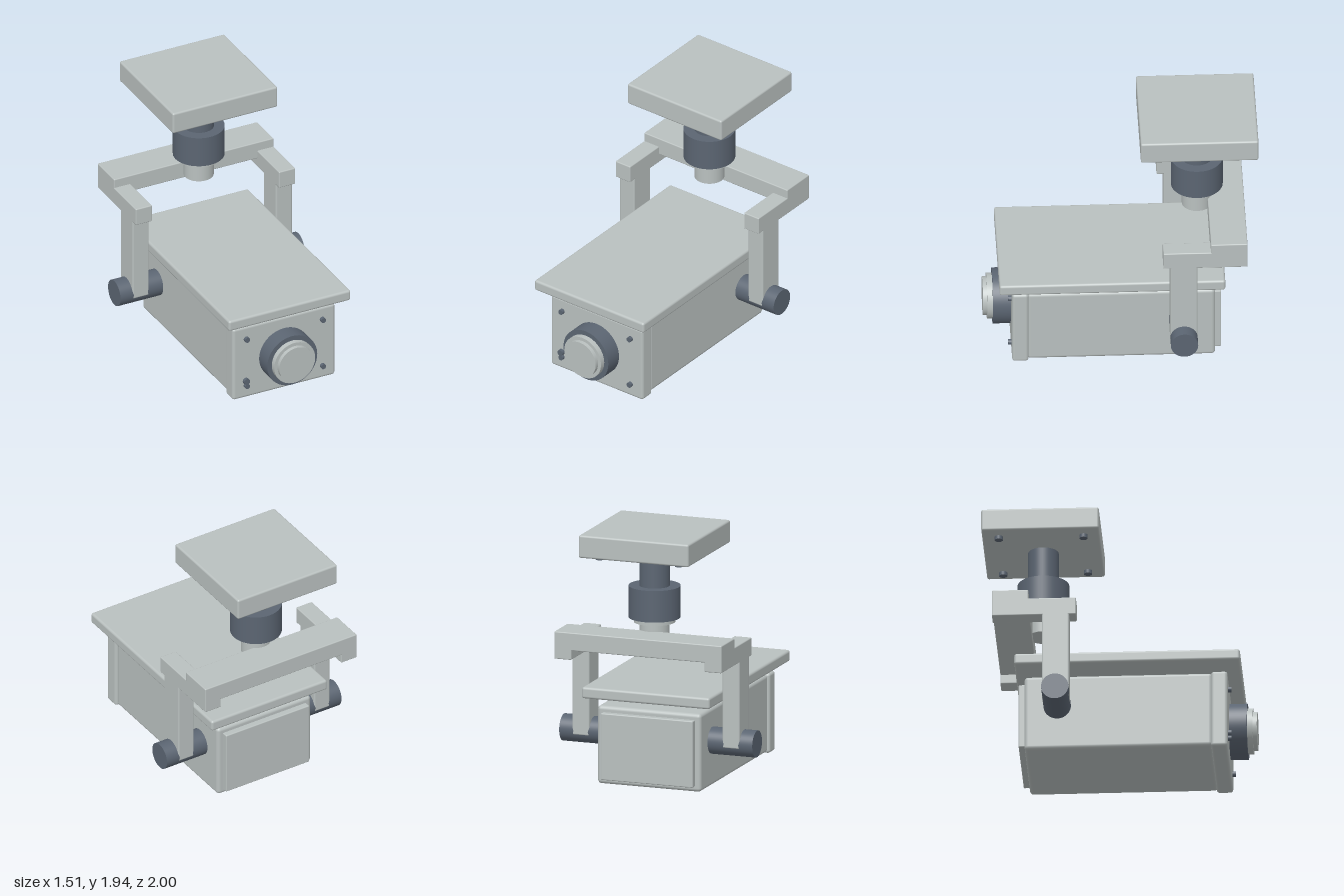
import * as THREE from 'three';
import { RoundedBoxGeometry } from 'three/addons/geometries/RoundedBoxGeometry.js';

const shell = new THREE.MeshStandardMaterial({ name: 'pale grey', color: 0xb9c0bf });
const dark = new THREE.MeshStandardMaterial({ name: 'slate grey', color: 0x5b6572 });

export function createModel() {
  const model = new THREE.Group();
  model.name = 'securityCamera';

  // Rounded box given by its extents along each axis
  function box(name, [x0, x1], [y0, y1], [z0, z1], radius) {
    const geo = new RoundedBoxGeometry(x1 - x0, y1 - y0, z1 - z0, 3, radius);
    const mesh = new THREE.Mesh(geo, shell);
    mesh.name = name;
    mesh.position.set((x0 + x1) / 2, (y0 + y1) / 2, (z0 + z1) / 2);
    model.add(mesh);
  }

  // Cylinder centred at a point, along the x, y or z axis
  function cylinder(name, material, radius, length, axis, x, y, z, sides = 48) {
    const geo = new THREE.CylinderGeometry(radius, radius, length, sides);
    if (axis === 'x') geo.rotateZ(-Math.PI / 2);
    if (axis === 'z') geo.rotateX(Math.PI / 2);
    const mesh = new THREE.Mesh(geo, material);
    mesh.name = name;
    mesh.position.set(x, y, z);
    model.add(mesh);
  }

  // Camera housing and sunshade
  box('housing', [-0.405, 0.405], [0.015, 0.6], [-0.685, 0.69], 0.028);
  box('frontPanel', [-0.42, 0.42], [0.005, 0.605], [0.68, 0.8], 0.022);
  box('backPanel', [-0.36, 0.36], [0.055, 0.555], [-0.73, -0.66], 0.008);
  box('sunshade', [-0.5, 0.5], [0.66, 0.745], [-0.755, 0.895], 0.018);

  // Stepped lens
  cylinder('lensHood', dark, 0.205, 0.15, 'z', 0, 0.305, 0.855, 64);
  cylinder('lensRing', shell, 0.168, 0.05, 'z', 0, 0.305, 0.945, 64);
  cylinder('lensFront', shell, 0.142, 0.04, 'z', 0, 0.305, 0.98, 64);

  // Front panel screws and indicator
  for (const x of [-0.312, 0.312])
    for (const y of [0.11, 0.502]) cylinder('panelScrew', dark, 0.02, 0.04, 'z', x, y, 0.805, 24);
  cylinder('indicator', dark, 0.024, 0.04, 'z', -0.316, 0.15, 0.805, 24);

  // Tilt bracket
  cylinder('tiltAxle', dark, 0.1, 1.51, 'x', 0, 0.357, -0.445);
  box('crossBar', [-0.655, 0.655], [1.05, 1.185], [-0.91, -0.643], 0.008);
  for (const s of [-1, 1]) {
    const xs = s > 0 ? [0.52, 0.655] : [-0.655, -0.52];
    box('bracketArm', xs, [0.98, 1.115], [-0.91, -0.295], 0.008);
    box('bracketLeg', xs, [0.328, 1.1], [-0.545, -0.345], 0.012);
  }

  // Pan joint and ceiling post
  const pz = -0.567;
  cylinder('panSpindle', shell, 0.11, 0.16, 'y', 0, 1.18, pz);
  cylinder('panFlange', shell, 0.152, 0.04, 'y', 0, 1.26, pz);
  cylinder('panCollar', dark, 0.19, 0.237, 'y', 0, 1.3935, pz);
  cylinder('post', dark, 0.112, 0.3, 'y', 0, 1.645, pz);

  // Ceiling plate with four screws beneath
  box('ceilingPlate', [-0.43, 0.43], [1.775, 1.945], [-1, -0.14], 0.015);
  for (const x of [-0.31, 0.31])
    for (const dz of [-0.31, 0.31]) cylinder('plateScrew', dark, 0.03, 0.05, 'y', x, 1.772, pz + dz, 24);

  return model;
}
